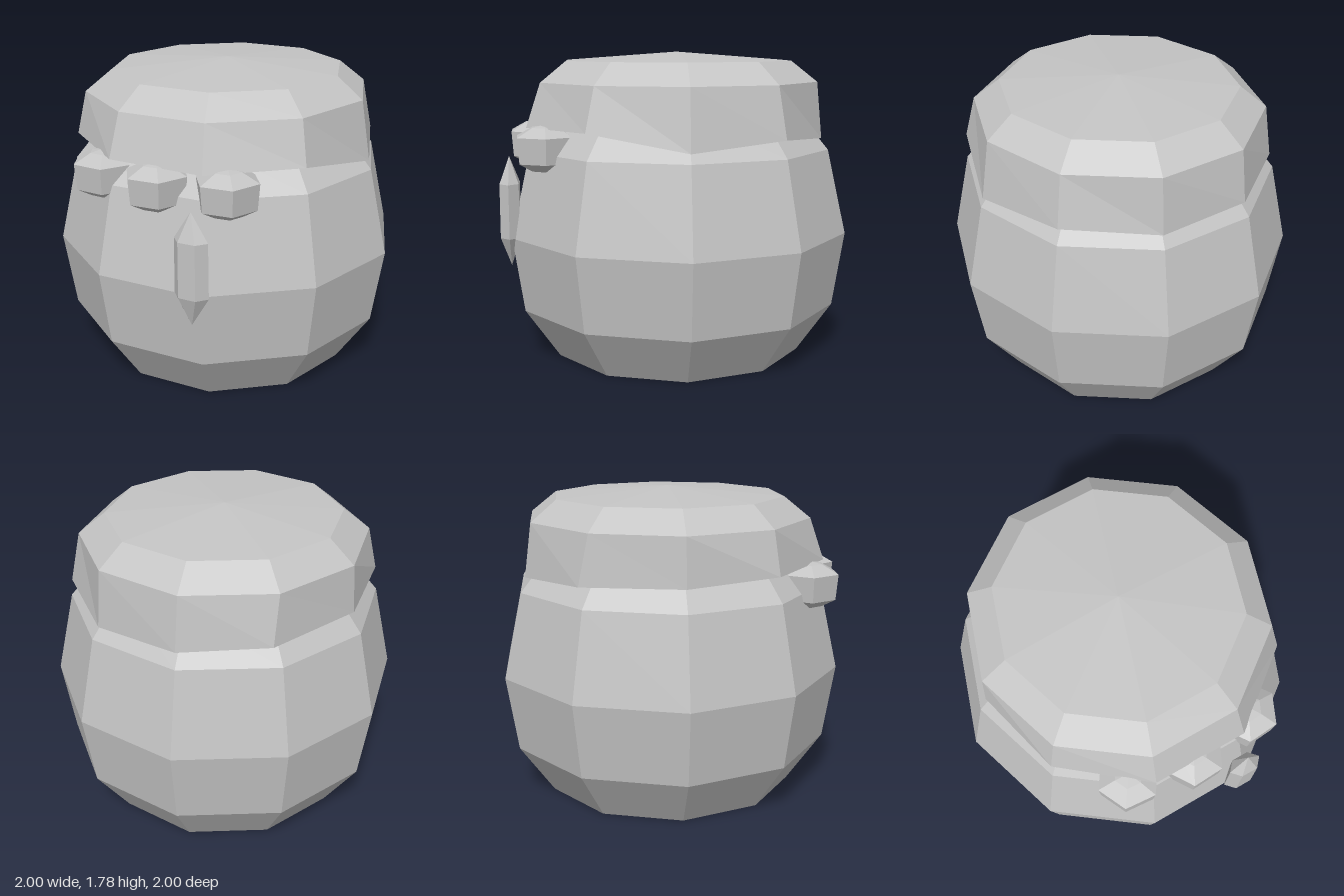
import * as THREE from 'three';

const grey = new THREE.MeshStandardMaterial({ color: 0xc4c4c4 });
grey.name = 'grey';
const greyLid = grey;
greyLid.side = THREE.DoubleSide; // the lid is an open shell

// Faceted turned shape with a corner on the +x axis; profile runs bottom to top
function facetedLathe(profile, sides, edit) {
  const points = profile.map(([r, y]) => new THREE.Vector2(r, y));
  const geometry = new THREE.LatheGeometry(points, sides, Math.PI / 2);
  if (edit) edit(geometry.attributes.position, points.length);
  const flat = geometry.toNonIndexed();
  flat.computeVertexNormals();
  return flat;
}

function addPart(group, name, geometry, x, y, z) {
  const mesh = new THREE.Mesh(geometry, grey);
  mesh.name = name;
  mesh.position.set(x, y, z);
  group.add(mesh);
  return mesh;
}

export function createModel() {
  const model = new THREE.Group();
  model.name = 'lidded pot';
  const centreZ = -0.03;

  // Ten-sided pot body
  const body = facetedLathe([
    [0, 0], [0.735, 0], [0.935, 0.295], [1, 0.73], [0.89, 1.22], [0.7, 1.45], [0, 1.45],
  ], 10);
  addPart(model, 'potBody', body, 0, 0, centreZ).scale.z = 1.016;

  // Lid with an uneven rim: x, y, z of each corner going round from +x towards -z
  const rim = [
    [0.875, 1.272, 0], [0.71, 1.32, -0.52], [0.26, 1.285, -0.81], [-0.26, 1.305, -0.82],
    [-0.67, 1.33, -0.54], [-0.84, 1.34, 0], [-0.71, 1.365, 0.51], [-0.27, 1.37, 0.86],
    [0.28, 1.36, 0.86], [0.71, 1.365, 0.53],
  ];
  const lid = facetedLathe([[0.83, 1.33], [0.82, 1.61], [0.67, 1.73], [0, 1.78]], 10,
    (position, rings) => {
      for (let i = 0; i <= 10; i++) position.setXYZ(i * rings, ...rim[i % 10]);
    });
  addPart(model, 'lid', lid, 0, 0, centreZ).scale.z = 1.016;

  // Three six-sided beads under the rim
  const bead = facetedLathe([
    [0, -0.135], [0.085, -0.12], [0.165, -0.075], [0.177, 0.07], [0.08, 0.12], [0, 0.135],
  ], 6);
  const beads = [
    ['rightBead', -0.375, 0.73, -0.08],
    ['middleBead', -0.013, 0.795, 0.05],
    ['leftBead', 0.37, 0.735, 0.08],
  ];
  for (const [name, x, z, turn] of beads) {
    addPart(model, name, bead, x, 1.25, z).rotation.y = turn;
  }

  // Flattened pendant hanging below the left bead
  const pendant = facetedLathe([[0, 0.565], [0.1, 0.735], [0.098, 1.045], [0, 1.2]], 6);
  addPart(model, 'pendant', pendant, 0.266, 0, 0.945).scale.z = 0.63;

  return model;
}
